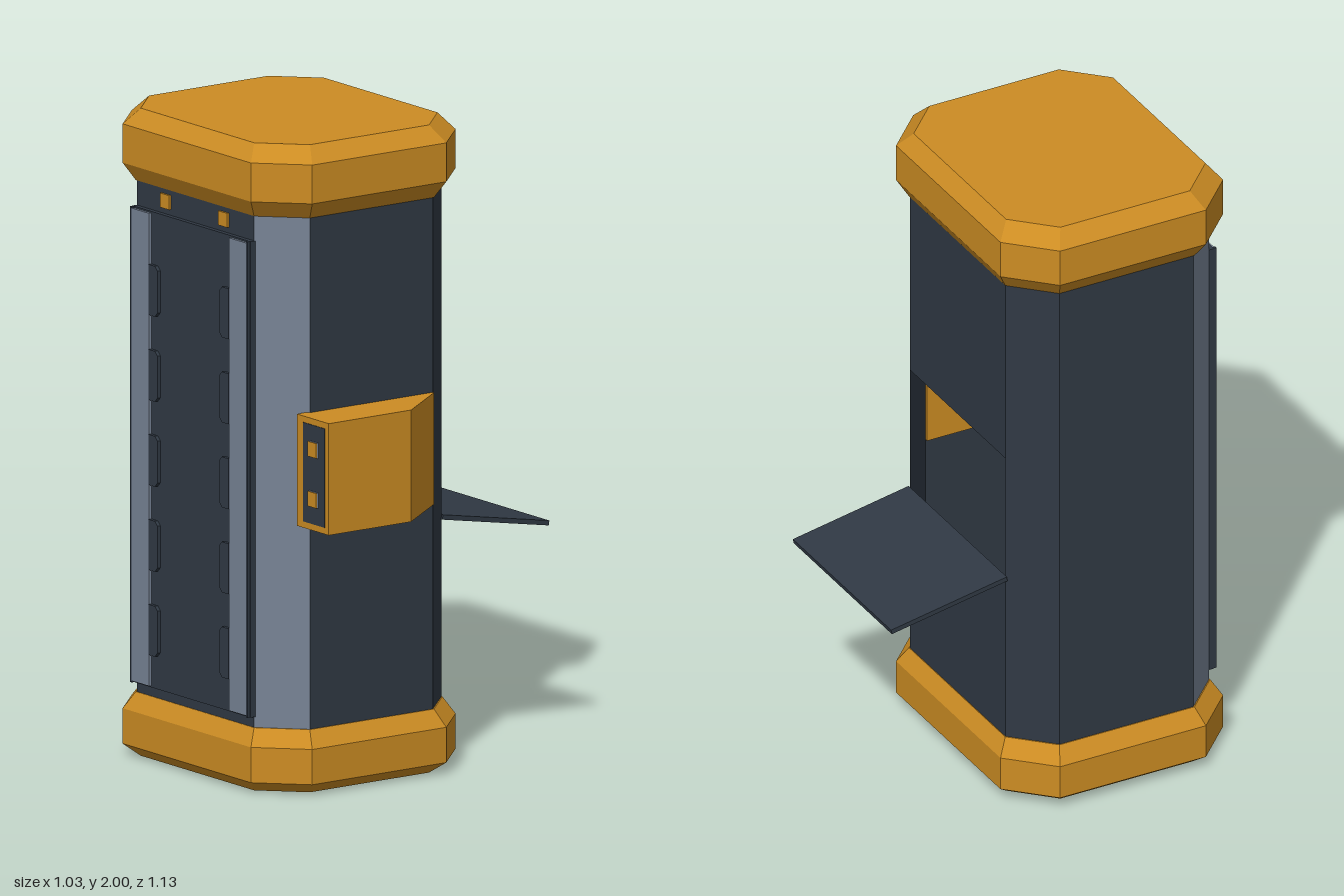
import * as THREE from 'three';

const CX = -0.0575, CZ = 0.1835;

export function createModel() {
  const root = new THREE.Group();
  root.name = 'vendingBooth';
  const mat = (name, color, side = THREE.FrontSide) => {
    const m = new THREE.MeshStandardMaterial({ color, side });
    m.name = name;
    return m;
  };
  const orange = mat('orange', 0xcc8c23);
  const dark = mat('darkSlate', 0x303944, THREE.DoubleSide);
  const gray = mat('steelGray', 0x778395, THREE.DoubleSide);

  const add = (name, geo, material, parent = root) => {
    const m = new THREE.Mesh(geo, material);
    m.name = name;
    parent.add(m);
    return m;
  };
  // Box given by its limits on each axis
  const box = (name, [x0, x1], [y0, y1], [z0, z1], material, parent) => {
    const m = add(name, new THREE.BoxGeometry(x1 - x0, y1 - y0, z1 - z0), material, parent);
    m.position.set((x0 + x1) / 2, (y0 + y1) / 2, (z0 + z1) / 2);
    return m;
  };
  // Rectangle with cut corners, in plan
  const octagon = (hx, hz, c) => [
    [hx, -hz + c], [hx, hz - c], [hx - c, hz], [-hx + c, hz],
    [-hx, hz - c], [-hx, -hz + c], [-hx + c, -hz], [hx - c, -hz],
  ].map(([x, z]) => [x + CX, z + CZ]);
  const flatGeometry = (pos) => {
    const g = new THREE.BufferGeometry();
    g.setAttribute('position', new THREE.Float32BufferAttribute(pos.flat(), 3));
    g.computeVertexNormals();
    return g;
  };
  // Faceted solid through stacked octagons [y, hx, hz, c]
  const stack = (levels) => {
    const rings = levels.map(([y, hx, hz, c]) => octagon(hx, hz, c).map(([x, z]) => [x, y, z]));
    const last = rings.length - 1, pos = [];
    for (let i = 0; i < 8; i++) {
      const j = (i + 1) % 8;
      for (let k = 0; k < last; k++) {
        const a = rings[k], b = rings[k + 1];
        pos.push(a[i], b[i], a[j], a[j], b[i], b[j]);
      }
      pos.push([CX, levels[0][0], CZ], rings[0][i], rings[0][j]);
      pos.push([CX, levels[last][0], CZ], rings[last][j], rings[last][i]);
    }
    return flatGeometry(pos);
  };

  // Base and roof
  const wide = [0.4575, 0.3825, 0.132], narrow = [0.408, 0.3425, 0.12], neck = [0.42, 0.352, 0.12];
  add('base', stack([[0, ...narrow], [0.036, ...wide], [0.145, ...wide], [0.197, ...neck]]), orange);
  add('roof', stack([[1.777, ...neck], [1.83, ...wide], [1.95, ...wide], [2, ...narrow]]), orange);

  // Hollow body walls, with an opening across the back
  const plan = octagon(0.4175, 0.35, 0.12);
  const names = ['leftWall', 'frontLeftCorner', 'frontWall', 'frontRightCorner',
    'rightWall', 'backRightCorner', 'backWall', 'backLeftCorner'];
  const yLow = 0.19, yHigh = 1.785;
  names.forEach((name, i) => {
    const [ax, az] = plan[i], [bx, bz] = plan[(i + 1) % 8];
    const spans = name === 'backWall' ? [[yLow, 0.75], [1.17, yHigh]] : [[yLow, yHigh]];
    for (const [y0, y1] of spans) {
      add(name, flatGeometry([
        [ax, y0, az], [ax, y1, az], [bx, y0, bz],
        [bx, y0, bz], [ax, y1, az], [bx, y1, bz],
      ]), name.startsWith('front') && name !== 'frontWall' ? gray : dark);
    }
  });
  // Ceiling block inside the opening
  box('innerCeiling', [-0.34, 0.23], [1.4, 1.43], [-0.15, 0.33], gray);

  // Front door with steel side strips and interlocking tabs
  const door = new THREE.Group();
  door.name = 'frontDoor';
  root.add(door);
  box('doorPanel', [-0.357, 0.243], [0.23, 1.7], [0.53, 0.549], dark, door);
  for (const s of [-1, 1]) {
    const span = (a, b) => [CX + s * a, CX + s * b].sort((p, q) => p - q);
    box('doorEdge', span(0.29, 0.298), [0.23, 1.7], [0.53, 0.558], dark, door);
    box('doorStrip', span(0.203, 0.29), [0.235, 1.695], [0.535, 0.558], gray, door);
    for (let i = 0; i < 5; i++) {
      const tab = new THREE.Shape([
        [0.203, -0.078], [0.17, -0.078], [0.157, -0.065],
        [0.157, 0.065], [0.17, 0.078], [0.203, 0.078],
      ].map(([x, y]) => new THREE.Vector2(s * x, y)));
      const m = add('doorTab', new THREE.ExtrudeGeometry(tab, { depth: 0.014, bevelEnabled: false }), dark, door);
      m.position.set(CX, 0.41 + i * 0.2625, 0.546);
    }
    const lx = CX + s * 0.1475;
    box('lintelLight', [lx - 0.023, lx + 0.023], [1.718, 1.762], [0.534, 0.541], orange);
  }

  // Control box on the left wall
  const control = new THREE.Group();
  control.name = 'controlBox';
  root.add(control);
  const side = new THREE.Shape([[0.35, -0.455], [0.512, -0.455], [0.512, -0.147], [0.365, 0.047], [0.35, 0.047]]
    .map(([x, y]) => new THREE.Vector2(x, y)));
  const shell = add('controlHousing', new THREE.ExtrudeGeometry(side, { depth: 0.345, bevelEnabled: false }), orange, control);
  shell.rotation.x = -Math.PI / 2;
  shell.position.y = 0.83;
  box('controlPanel', [0.384, 0.494], [0.85, 1.156], [0.452, 0.457], dark, control);
  for (const y of [0.928, 1.082]) {
    box('buttonBase', [0.416, 0.462], [y - 0.024, y + 0.024], [0.455, 0.462], gray, control);
    box('button', [0.417, 0.461], [y - 0.023, y + 0.023], [0.46, 0.465], orange, control);
  }

  // Fold-down hatch at the back
  const hatch = add('backHatch', new THREE.BoxGeometry(0.612, 0.015, 0.404), dark);
  hatch.position.set(CX, 0.716, -0.364);
  hatch.rotation.x = -0.18;

  return root;
}
